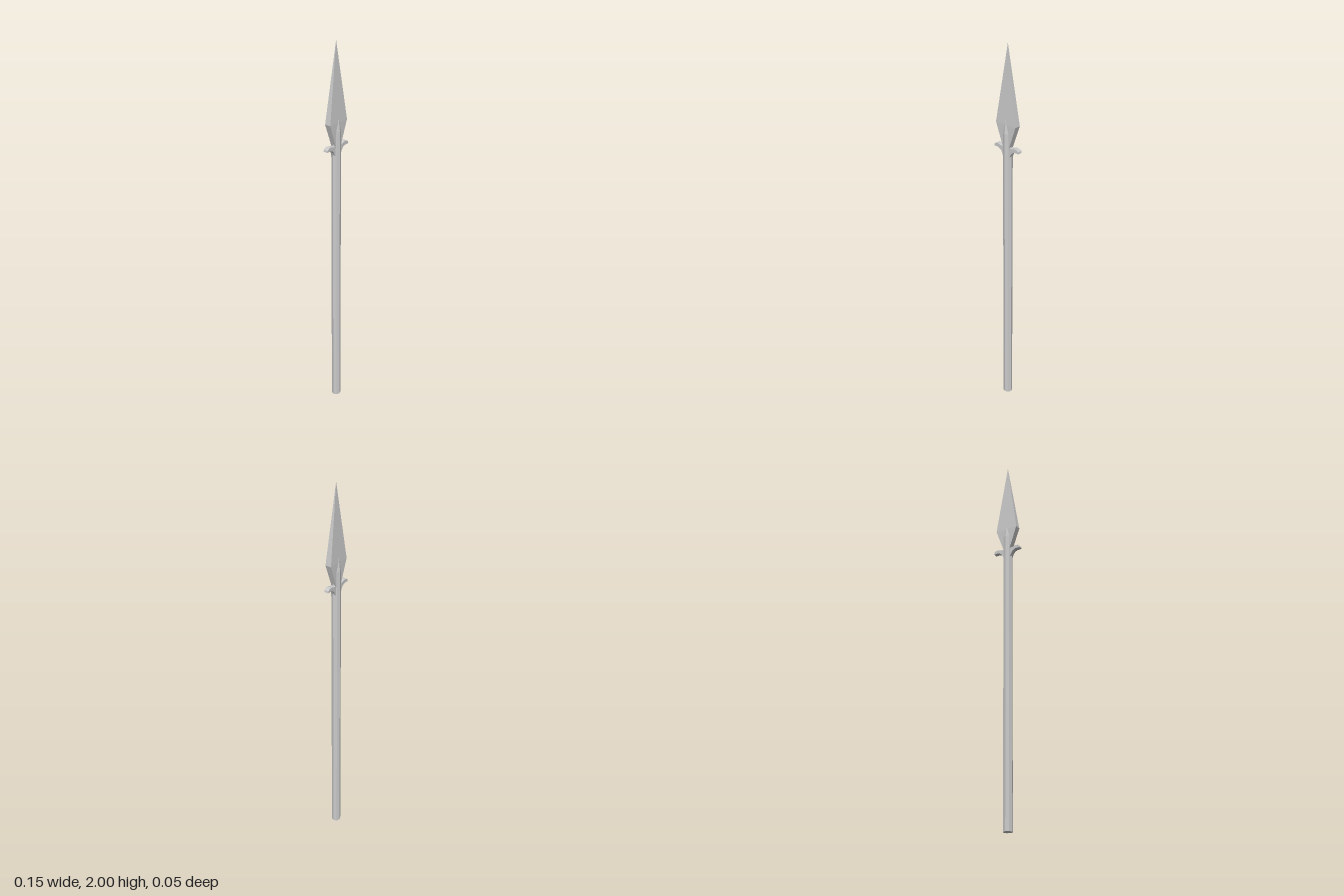
import * as THREE from 'three';
import { ConvexGeometry } from 'three/addons/geometries/ConvexGeometry.js';

const material = new THREE.MeshStandardMaterial({ color: 0xcccccc, flatShading: true });

function part(name, geometry) {
  const mesh = new THREE.Mesh(geometry, material);
  mesh.name = name;
  return mesh;
}

// corners of a horizontal rectangle
function ring(y, x, z) {
  return [[x, z], [-x, z], [-x, -z], [x, -z]].map(([a, b]) => new THREE.Vector3(a, y, b));
}

export function createModel() {
  const model = new THREE.Group();
  model.name = 'spear';
  const radius = 0.0235, shaftTop = 1.56;

  // octagonal shaft, with a corner facing the front
  const shaft = part('shaft', new THREE.CylinderGeometry(radius, radius, shaftTop, 8));
  shaft.position.y = shaftTop / 2;
  model.add(shaft);

  // shaft end rising to a point against each face of the blade
  const tip = [new THREE.Vector3(0, 1.63, 0.015), new THREE.Vector3(0, 1.63, -0.015)];
  for (let i = 0; i < 8; i++) {
    const a = i * Math.PI / 4;
    tip.push(new THREE.Vector3(Math.sin(a) * radius, shaftTop, Math.cos(a) * radius));
  }
  model.add(part('socketPoint', new ConvexGeometry(tip)));

  // long four-sided blade, widest above the socket
  model.add(part('blade', new ConvexGeometry([
    new THREE.Vector3(0, 2, 0),
    ...ring(1.605, 0.061, 0.016),
    ...ring(1.48, 0.017, 0.014),
  ])));

  // cross guard with drooping horns, mirrored about the shaft
  const half = [
    [0.022, 1.44], [0.028, 1.455], [0.037, 1.467], [0.05, 1.474], [0.063, 1.475],
    [0.077, 1.474], [0.075, 1.485], [0.066, 1.492], [0.05, 1.493], [0.035, 1.488], [0.02, 1.487],
  ];
  const outline = [...half, ...half.map(([x, y]) => [-x, y]).reverse()];
  const guard = new THREE.ExtrudeGeometry(
    new THREE.Shape(outline.map(([x, y]) => new THREE.Vector2(x, y))),
    { depth: 0.024, bevelEnabled: false });
  guard.translate(0, 0, -0.012);
  model.add(part('crossGuard', guard));

  return model;
}
